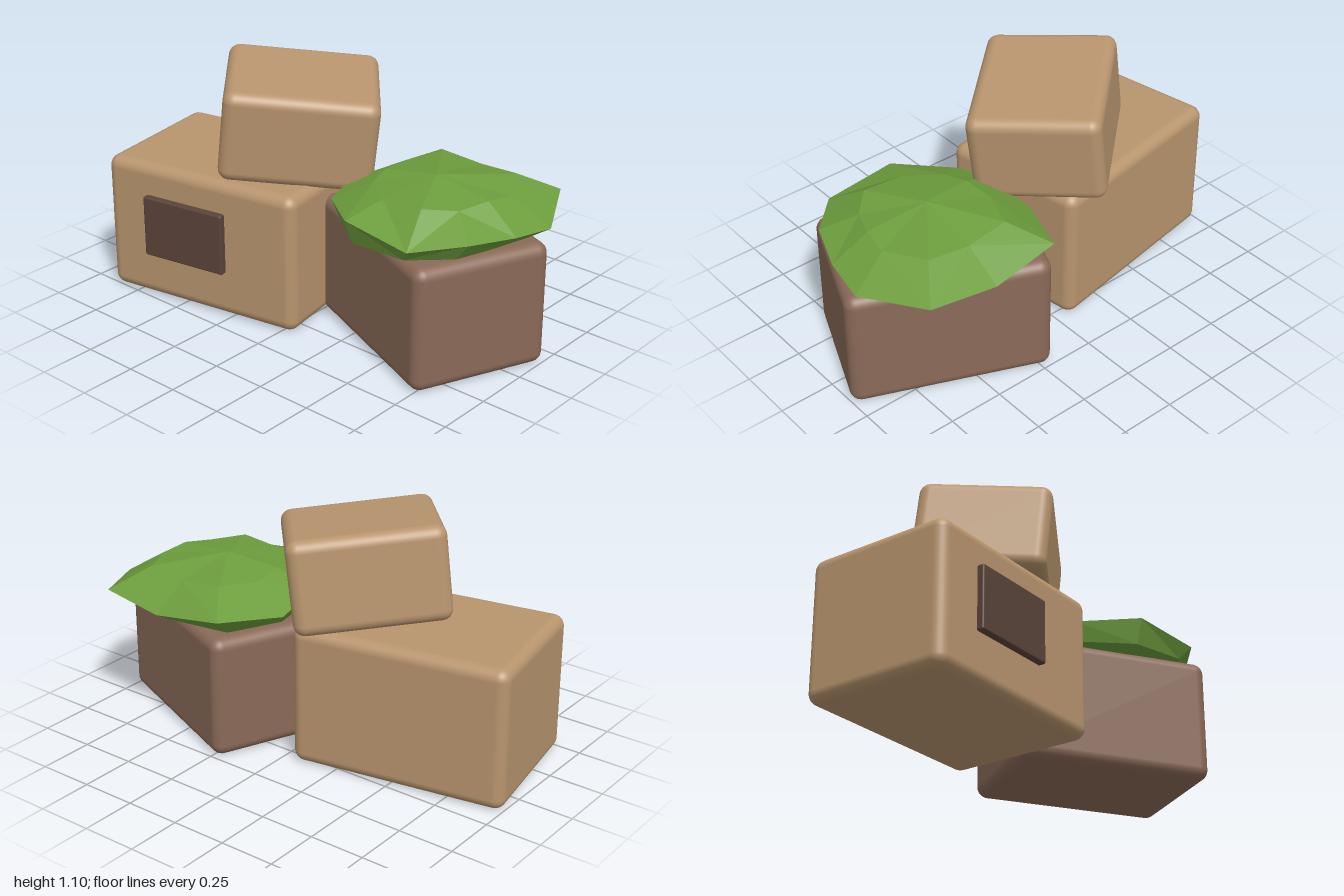
import * as THREE from 'three';
import { RoundedBoxGeometry } from 'three/addons/geometries/RoundedBoxGeometry.js';

function material(name, color) {
  const m = new THREE.MeshStandardMaterial({ color });
  m.name = name;
  return m;
}

function roundedBlock(name, size, radius, mat) {
  const mesh = new THREE.Mesh(new RoundedBoxGeometry(...size, 4, radius), mat);
  mesh.name = name;
  return mesh;
}

// Faceted mound lofted from an irregular rim: underside, rim, shoulder, crown
function leafMound(rim) {
  const center = [0.53, -0.07];
  const ring = (scale, [cx, cz], height) => rim.map(([x, z, y], i) =>
    [cx + (x - cx) * scale, height(y, i), cz + (z - cz) * scale]);
  const n = rim.length;
  const rings = [
    ring(0.84, [0.42, 0.15], (y, i) => 0.54 + 0.012 * (i % 2)),
    ring(1, center, (y) => y),
    ring(0.62, center, (y, i) => 0.705 + 0.015 * (i % 2)),
  ];
  const pos = [];
  const tri = (a, b, c) => pos.push(...a, ...b, ...c);
  for (let i = 0; i < n; i++) {
    const j = (i + 1) % n;
    for (let k = 0; k < 2; k++) {
      const [a, b, c, d] = [rings[k][i], rings[k][j], rings[k + 1][j], rings[k + 1][i]];
      if (i % 2) { tri(a, b, c); tri(a, c, d); }
      else { tri(a, b, d); tri(b, c, d); }
    }
    tri(rings[2][i], rings[2][j], [0.51, 0.75, -0.05]);
    tri(rings[0][j], rings[0][i], [0.5, 0.53, -0.04]);
  }
  const geo = new THREE.BufferGeometry();
  geo.setAttribute('position', new THREE.Float32BufferAttribute(pos, 3));
  geo.computeVertexNormals();
  return geo;
}

export function createModel() {
  const tan = material('tan stone', 0xb8956e);
  const brown = material('brown stone', 0x8a6a58);
  const dark = material('dark brown', 0x5a443b);
  const green = material('leaf green', 0x6d9d3d);
  const model = new THREE.Group();
  model.name = 'blockPile';

  // Large base block with its recess-coloured panel on the front
  const base = new THREE.Group();
  base.name = 'largeBlock';
  base.position.set(-0.47, 0, 0.1);
  base.rotation.y = 0.175;
  const body = roundedBlock('largeBlockBody', [0.97, 0.63, 0.68], 0.05, tan);
  body.position.y = 0.315;
  const panel = roundedBlock('frontPanel', [0.41, 0.28, 0.06], 0.008, dark);
  panel.position.set(-0.065, 0.35, 0.34);
  base.add(body, panel);

  // Darker block beside it
  const side = roundedBlock('sideBlock', [0.87, 0.55, 0.62], 0.05, brown);
  side.position.set(0.49, 0.275, -0.05);
  side.rotation.y = -0.4;

  // Small block, turned and then tipped sideways
  const top = roundedBlock('topBlock', [0.66, 0.41, 0.57], 0.05, tan);
  top.position.set(-0.19, 0.845, 0.015);
  top.rotation.set(0, 0.72, -0.13, 'ZYX');

  // Foliage on the side block; rim points are x, z, y, running front to right to back
  const foliage = new THREE.Mesh(leafMound([
    [0.38, 0.38, 0.65], [0.7, 0.385, 0.61], [0.87, 0.21, 0.63], [0.95, 0, 0.615],
    [0.98, -0.2, 0.595], [0.83, -0.49, 0.63], [0.52, -0.515, 0.6], [0.2, -0.49, 0.64],
    [0.08, -0.2, 0.6], [0.11, 0.03, 0.64], [0.15, 0.2, 0.62],
  ]), green);
  foliage.name = 'foliage';

  model.add(base, side, top, foliage);
  return model;
}
